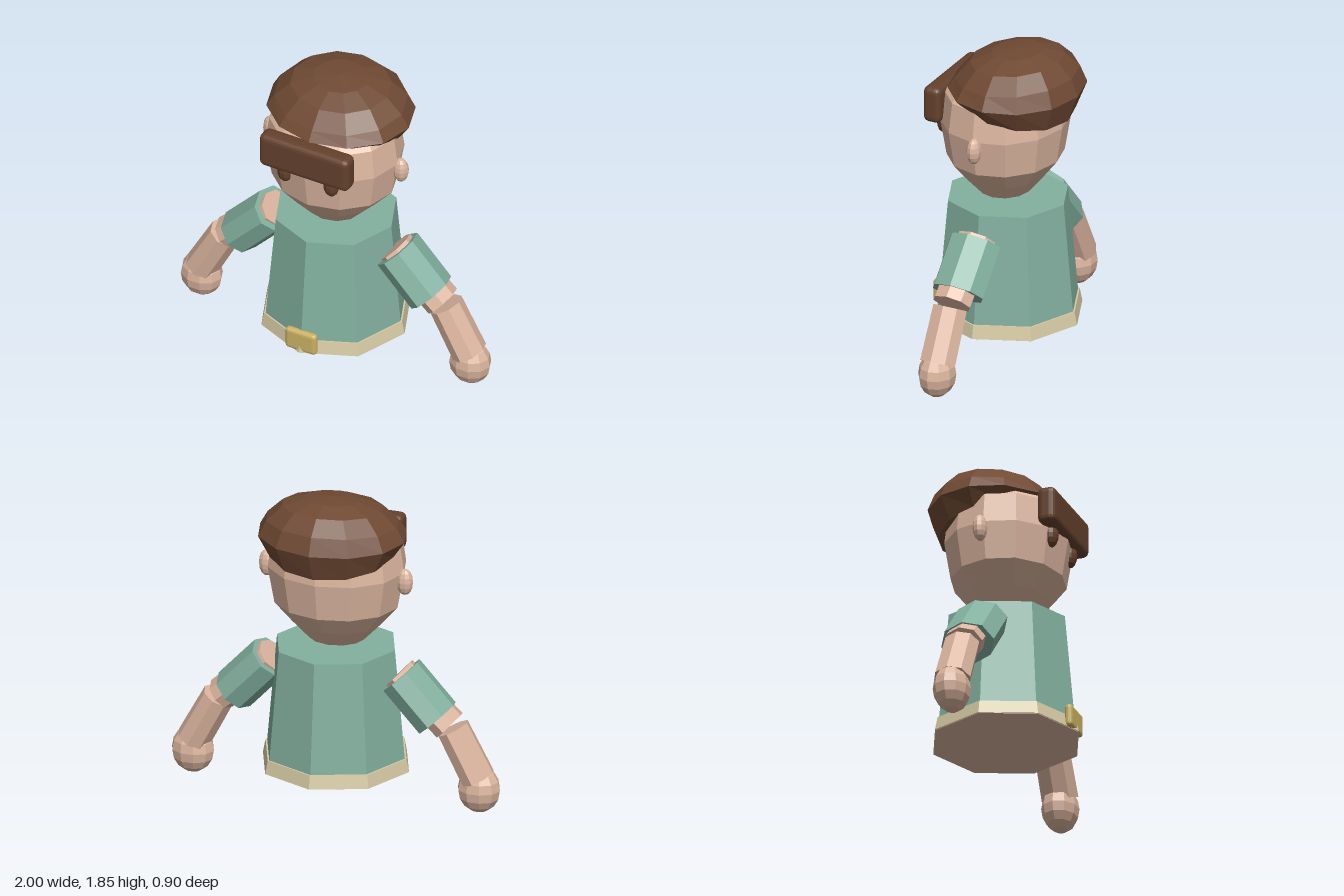
import * as THREE from 'three';
import { RoundedBoxGeometry } from 'three/addons/geometries/RoundedBoxGeometry.js';

const mat = (name, color) => {
  const m = new THREE.MeshStandardMaterial({ color, flatShading: true });
  m.name = name;
  return m;
};

export function createModel() {
  const model = new THREE.Group();
  const skin = mat('skin', 0xdbb59f);
  const teal = mat('teal cloth', 0x82b09f);
  const cream = mat('cream trim', 0xd6caa4);
  const gold = mat('gold', 0xcbb364);
  const hatBrown = mat('hat brown', 0x704a34);
  const darkBrown = mat('dark brown', 0x64412d);

  const add = (name, geo, material, x = 0, y = 0, z = 0, parent = model) => {
    const mesh = new THREE.Mesh(geo, material);
    mesh.name = name;
    mesh.position.set(x, y, z);
    parent.add(mesh);
    return mesh;
  };
  const ellipsoid = (rx, ry, rz, w = 10, h = 8) =>
    new THREE.SphereGeometry(1, w, h).scale(rx, ry, rz);
  const lathe = (pts, sides) =>
    new THREE.LatheGeometry(pts.map(([r, y]) => new THREE.Vector2(r, y)), sides);

  // Tunic: tapered octagon with a flared hem
  add('tunic', new THREE.CylinderGeometry(0.36, 0.42, 0.66, 8), teal, 0, 0.59);
  add('hem', new THREE.CylinderGeometry(0.43, 0.446, 0.08, 8), cream, 0, 0.22);
  add('underside', new THREE.CylinderGeometry(0.44, 0.44, 0.006, 8), skin, 0, 0.18);
  add('buckle', new RoundedBoxGeometry(0.2, 0.14, 0.046, 2, 0.022), gold, 0, 0.25, 0.415);

  // Head, wider than deep
  const headGeo = lathe([
    [0, 0.92], [0.165, 0.955], [0.265, 1.06], [0.37, 1.18],
    [0.41, 1.4], [0.385, 1.58], [0.25, 1.72], [0, 1.76],
  ], 12).scale(1, 1, 0.89);
  add('head', headGeo, skin, 0, 0, 0.015);

  // Cap: flattened dome, with the lower rim sloping down to the back
  const capGeo = lathe([
    [0, 1.5], [0.37, 1.52], [0.44, 1.62], [0.395, 1.7], [0.3, 1.79], [0.165, 1.835], [0, 1.85],
  ], 12).scale(1, 1, 0.885);
  const p = capGeo.attributes.position;
  for (let i = 0; i < p.count; i++) {
    const y = p.getY(i), z = p.getZ(i);
    if (y < 1.6) p.setY(i, y + z * 0.195);
    else if (y > 1.65) p.setY(i, y - z * 0.07);
  }
  capGeo.computeVertexNormals();
  add('cap', capGeo, hatBrown, 0, 0, -0.06);
  add('fringe', new RoundedBoxGeometry(0.58, 0.22, 0.11, 2, 0.035), darkBrown, 0, 1.51, 0.35);

  // Tapered limb section between two points of the xy plane
  const limb = (name, a, b, ra, rb, depth, material, parent) => {
    const dx = a[0] - b[0], dy = a[1] - b[1];
    const geo = new THREE.CylinderGeometry(ra, rb, Math.hypot(dx, dy), 8).scale(1, 1, depth);
    const m = add(name, geo, material, (a[0] + b[0]) / 2, (a[1] + b[1]) / 2, 0, parent);
    m.rotation.z = Math.atan2(-dx, dy);
  };

  for (const s of [1, -1]) {
    const side = s > 0 ? 'left' : 'right';
    add(side + 'Eye', ellipsoid(0.048, 0.075, 0.042), darkBrown, s * 0.15, 1.37, 0.334);
    add(side + 'Ear', ellipsoid(0.05, 0.08, 0.042), skin, s * 0.42, 1.355, 0);

    const arm = new THREE.Group();
    arm.name = side + 'Arm';
    model.add(arm);
    limb('sleeve', [s * 0.4, 0.775], [s * 0.62, 0.54], 0.132, 0.132, 1.22, teal, arm);
    limb('upperArm', [s * 0.388, 0.788], [s * 0.695, 0.505], 0.1, 0.098, 1.2, skin, arm);
    limb('forearm', [s * 0.715, 0.49], [s * 0.87, 0.2], 0.096, 0.1, 1.12, skin, arm);
    add('hand', ellipsoid(0.127, 0.14, 0.108), skin, s * 0.873, 0.14, 0, arm);
  }
  return model;
}
